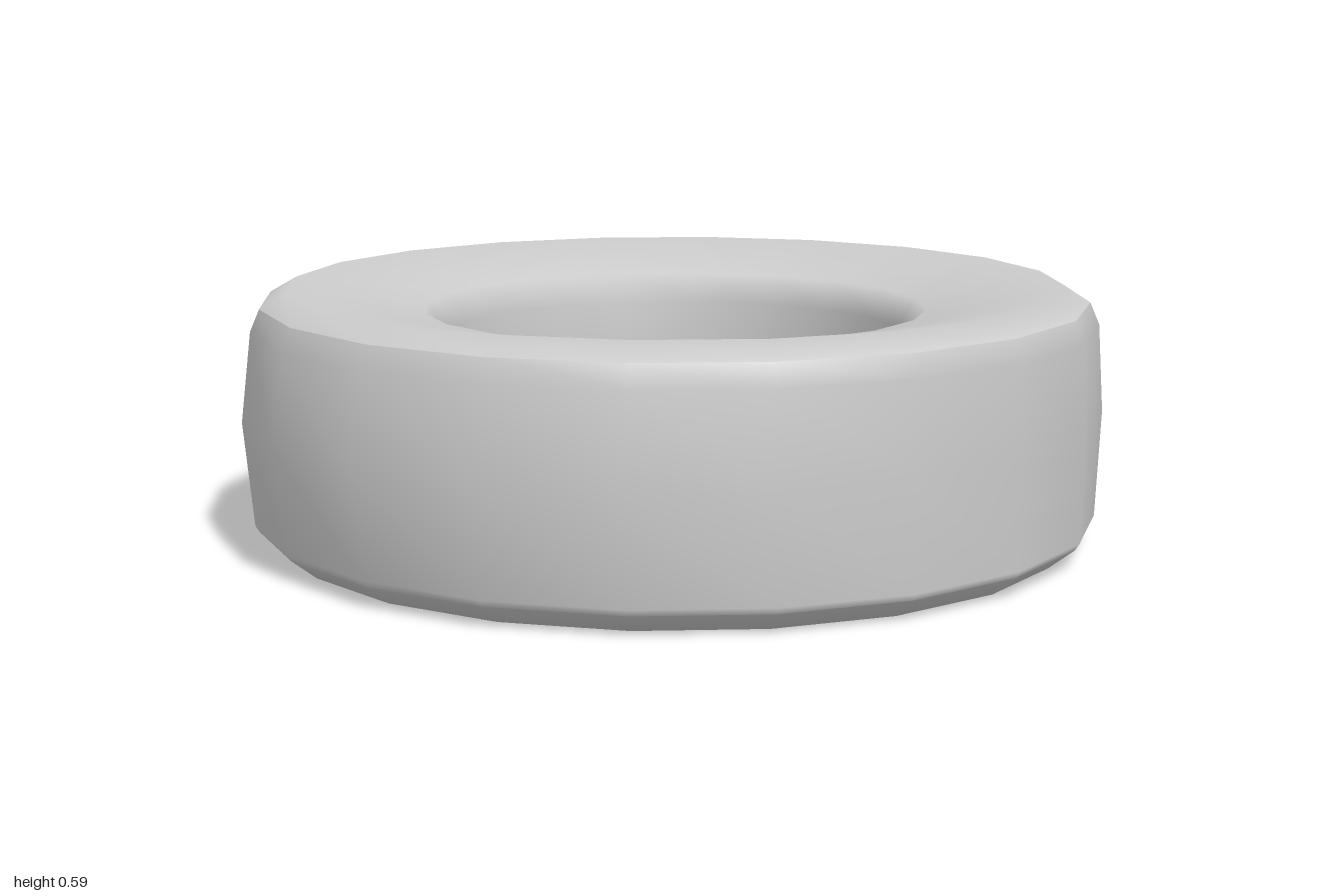
import * as THREE from 'three';
import { mergeVertices } from 'three/addons/utils/BufferGeometryUtils.js';

const material = new THREE.MeshStandardMaterial({ color: 0xcccccc });
const wallRadius = 0.963;
const midHeight = 0.3;

// Smooth 20-sided band from (radius, height) points
function band(name, points) {
  const geometry = new THREE.LatheGeometry(points.map(([r, y]) => new THREE.Vector2(r, y)), 20);

  // The middle of the outer wall bulges sideways only
  const pos = geometry.attributes.position;
  for (let i = 0; i < pos.count; i++) {
    if (Math.abs(pos.getY(i) - midHeight) < 0.001) pos.setX(i, pos.getX(i) / wallRadius);
  }

  // Weld the seam so that the band is shaded smoothly all round
  geometry.deleteAttribute('uv');
  geometry.deleteAttribute('normal');
  const welded = mergeVertices(geometry);
  welded.computeVertexNormals();
  const mesh = new THREE.Mesh(welded, material);
  mesh.name = name;
  return mesh;
}

export function createModel() {
  const group = new THREE.Group();
  group.name = 'ring';

  // Outer wall, with sharp edges where it meets the bevels
  group.add(band('outerWall', [
    [0.953, 0.045], [wallRadius, 0.06], [wallRadius, midHeight], [wallRadius, 0.5], [0.942, 0.55],
  ]));

  // Top bevel, dished top, hole, dished underside and bottom bevel
  group.add(band('sidesAndHole', [
    [0.942, 0.55], [0.88, 0.586], [0.575, 0.53], [0.537, 0.465],
    [0.537, 0.115], [0.59, 0.047], [0.895, 0], [0.953, 0.045],
  ]));
  return group;
}
